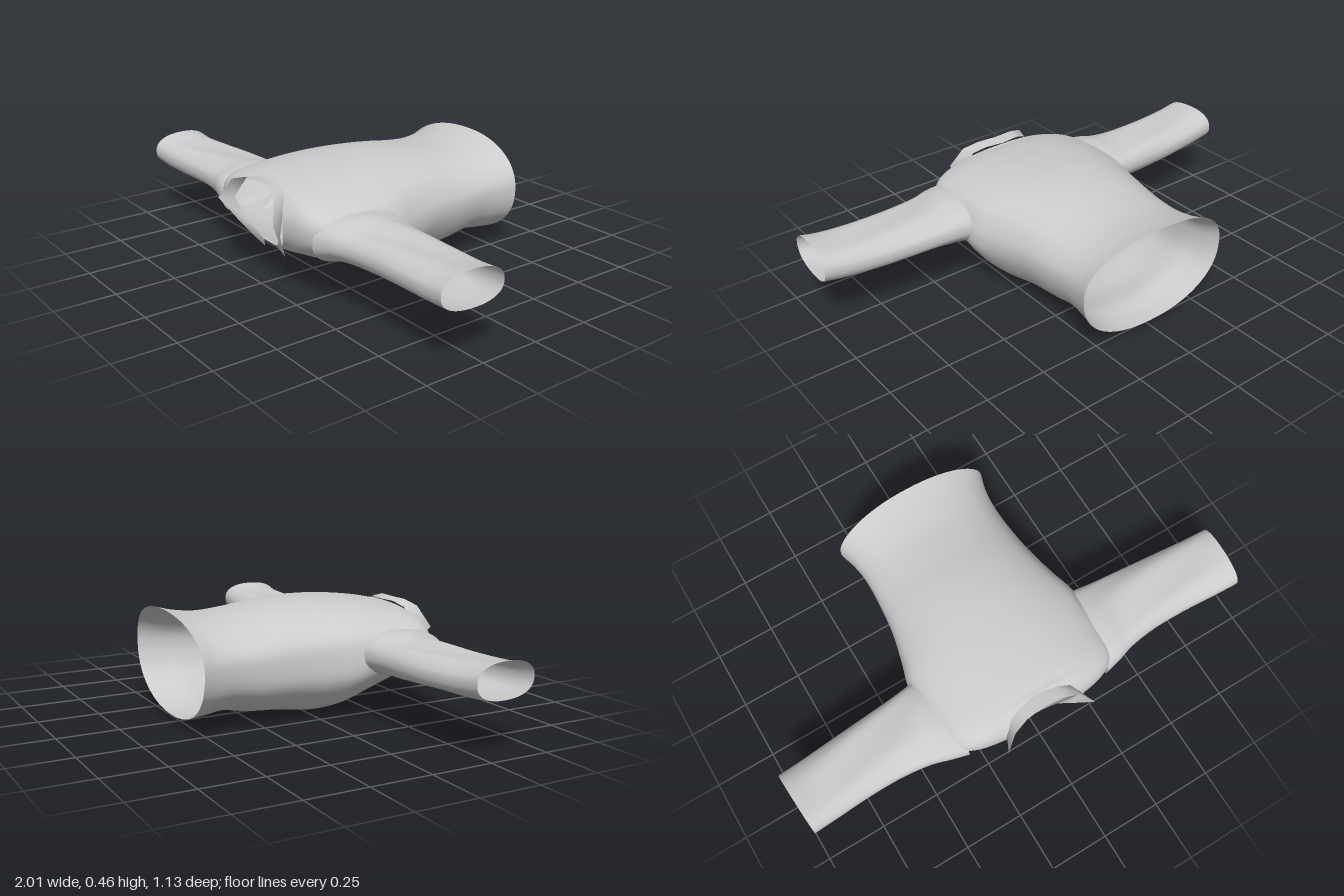
import * as THREE from 'three';

const material = new THREE.MeshStandardMaterial({ color: 0xcccccc, side: THREE.DoubleSide, roughness: 0.9 });

// Smoothly read every column of a section table at u in 0..1.
function sampler(rows) {
  const curves = rows[0].map((_, c) => new THREE.SplineCurve(rows.map((r, i) => new THREE.Vector2(i, r[c]))));
  return (u) => curves.map((curve) => curve.getPoint(u).y);
}

// Skin a grid of points; quads whose corners all satisfy cut() are left open.
function skin(name, rows, cols, closed, pointAt, cut = () => false) {
  const points = [], index = [];
  const perRow = closed ? cols : cols + 1;
  for (let i = 0; i <= rows; i++)
    for (let j = 0; j < perRow; j++) points.push(pointAt(i / rows, j / cols));
  for (let i = 0; i < rows; i++)
    for (let j = 0; j < cols; j++) {
      const k = (j + 1) % perRow;
      const [a, b, c, d] = [i * perRow + j, i * perRow + k, (i + 1) * perRow + k, (i + 1) * perRow + j];
      if (![a, b, c, d].every((v) => cut(points[v]))) index.push(a, b, c, a, c, d);
    }
  const geometry = new THREE.BufferGeometry().setFromPoints(points);
  geometry.setIndex(index);
  geometry.computeVertexNormals();
  const mesh = new THREE.Mesh(geometry, material);
  mesh.name = name;
  return mesh;
}

// Torso sections: z at the sides, half width, bottom y, top y, z shift at top, z shift at bottom
const torso = sampler([
  [-0.54, 0.345, 0.03, 0.457, -0.025, 0.005],
  [-0.47, 0.325, 0.035, 0.437, -0.015, 0],
  [-0.38, 0.315, 0.045, 0.425, 0, 0],
  [-0.26, 0.32, 0.025, 0.433, 0, 0],
  [-0.13, 0.335, 0.015, 0.45, 0, 0],
  [0.0, 0.365, 0.0, 0.458, 0, 0],
  [0.1, 0.392, 0.015, 0.456, 0, 0],
  [0.2, 0.395, 0.055, 0.45, 0, 0],
  [0.3, 0.39, 0.095, 0.438, 0, 0],
  [0.39, 0.378, 0.13, 0.425, -0.01, -0.01],
  [0.45, 0.345, 0.15, 0.416, -0.035, -0.03],
  [0.485, 0.28, 0.158, 0.414, -0.05, -0.04],
  [0.505, 0.175, 0.16, 0.412, -0.065, -0.055],
]);

// Sleeve sections: x, back z, front z, bottom y, top y
const sleeve = sampler([
  [0.325, 0.1, 0.475, 0.165, 0.355],
  [0.4, 0.115, 0.458, 0.19, 0.355],
  [0.48, 0.125, 0.435, 0.198, 0.345],
  [0.6, 0.135, 0.42, 0.2, 0.342],
  [0.75, 0.148, 0.42, 0.202, 0.34],
  [0.9, 0.163, 0.43, 0.208, 0.345],
  [0.995, 0.172, 0.437, 0.218, 0.358],
]);

// Collar half, back of neck to tip: inner xyz, outer xyz
const collarHalf = [
  [0, 0.415, 0.44, 0, 0.422, 0.495],
  [0.08, 0.415, 0.45, 0.085, 0.42, 0.505],
  [0.135, 0.395, 0.47, 0.15, 0.4, 0.525],
  [0.172, 0.315, 0.505, 0.2, 0.315, 0.562],
  [0.115, 0.225, 0.48, 0.14, 0.215, 0.5],
  [0.045, 0.16, 0.45, 0.075, 0.118, 0.432],
];

const power = (v, e) => Math.sign(v) * Math.abs(v) ** e;

function torsoPoint(u, v) {
  const [z, w, y0, y1, top, bottom] = torso(u);
  const t = v * Math.PI * 2, c = Math.cos(t), s = Math.sin(t);
  const middle = y0 + (y1 - y0) * 0.55;
  // Shallow lengthwise folds that fade out at both openings
  const fold = 1 + 0.008 * Math.sin(t * 9 + 5 * u) * Math.sin(Math.PI * u);
  return new THREE.Vector3(
    w * power(c, 0.92) * fold,
    middle + power(s, 0.9) * (s > 0 ? y1 - middle : middle - y0),
    z + s * s * (s > 0 ? top : bottom),
  );
}

// The armhole: the part of the torso wall lying inside a sleeve
function inArmhole(p) {
  const dz = (p.z - 0.285) / 0.165, dy = (p.y - 0.268) / 0.078;
  return Math.abs(p.x) > 0.24 && dz * dz + dy * dy < 1;
}

function makeSleeve(name, side) {
  return skin(name, 36, 48, true, (u, v) => {
    const [x, z0, z1, y0, y1] = sleeve(u);
    const t = v * Math.PI * 2, c = power(Math.cos(t), 0.85), s = power(Math.sin(t), 0.85);
    const droop = 0.006 * Math.sin(t * 5 + u * 7) * Math.sin(Math.PI * u);
    return new THREE.Vector3(
      side * (x - 0.008 * s * side * u),
      (y0 + y1) / 2 + c * ((y1 - y0) / 2 + droop),
      (z0 + z1) / 2 + (side * s * (z1 - z0)) / 2,
    );
  });
}

export function createModel() {
  const group = new THREE.Group();
  group.name = 'shirt';
  group.add(skin('torso', 130, 160, true, torsoPoint, inArmhole));
  group.add(makeSleeve('leftSleeve', 1), makeSleeve('rightSleeve', -1));

  // Collar strip, open at the throat
  const mirrored = collarHalf.slice(1).reverse().map(([a, b, c, d, e, f]) => [-a, b, c, -d, e, f]);
  const rows = [...mirrored, ...collarHalf];
  group.add(skin('collar', rows.length - 1, 1, false, (u, v) => {
    const r = rows[Math.round(u * (rows.length - 1))];
    return new THREE.Vector3(...r.slice(v * 3, v * 3 + 3));
  }));
  return group;
}
